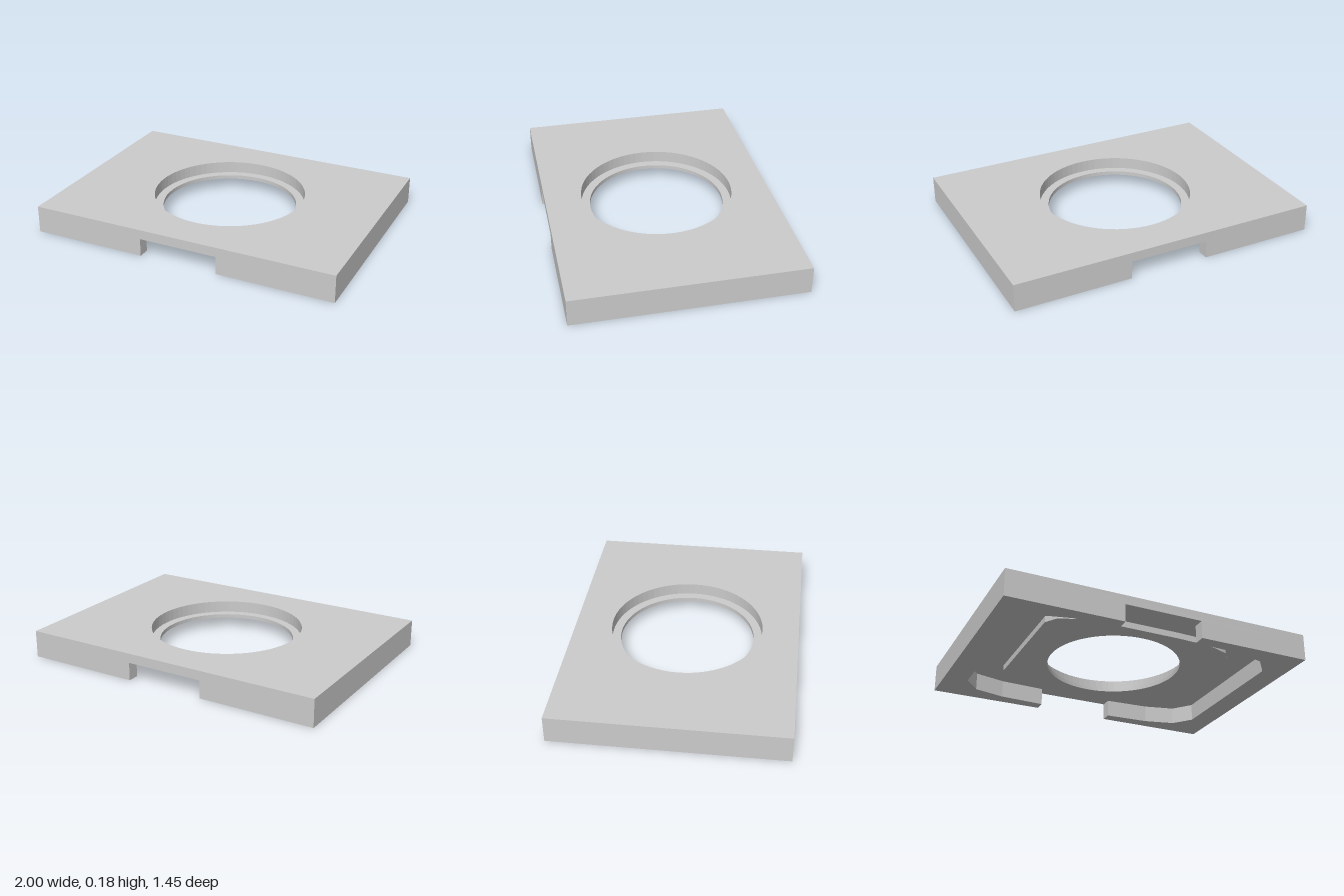
import * as THREE from 'three';

const W = 1, D = 0.725;          // half width and half depth of the block
const TOP = 0.176, CEILING = 0.115, LEDGE = 0.1, PAD = 0.075;
const SLOT = 0.255;              // half width of the front and back slots

const material = new THREE.MeshStandardMaterial({ color: 0xcccccc, flatShading: true });

const toShape = (points) => new THREE.Shape(points.map(([x, z]) => new THREE.Vector2(x, z)));

// Horizontal slab: plan outline in x/z, extruded between two heights
function slab(name, points, bottom, top, holeRadius = 0) {
  const shape = toShape(points);
  if (holeRadius) {
    const hole = new THREE.Path();
    hole.absarc(0, 0, holeRadius, 0, Math.PI * 2, true);
    shape.holes.push(hole);
  }
  const geometry = new THREE.ExtrudeGeometry(shape, {
    depth: top - bottom, bevelEnabled: false, curveSegments: 36,
  });
  geometry.rotateX(Math.PI / 2);
  geometry.translate(0, top, 0);
  const mesh = new THREE.Mesh(geometry, material);
  mesh.name = name;
  return mesh;
}

// Mirror a quarter outline (running from +x towards +z) into a closed loop
function mirrorQuarter(quarter) {
  const half = [...quarter, ...quarter.map(([x, z]) => [-x, z]).reverse()];
  return [...half, ...half.map(([x, z]) => [x, -z]).reverse()];
}

export function createModel() {
  const group = new THREE.Group();
  group.name = 'coverPlate';

  // Top plate with the wide opening
  group.add(slab('topPlate', mirrorQuarter([[W, D]]), CEILING, TOP, 0.49));

  // Raised pad underneath, with the narrow lip that leaves a ledge in the opening
  const pad = mirrorQuarter([[0.63, 0.385], [0.577, 0.465], [0.43, 0.517], [0.2, 0.527]]);
  group.add(slab('padUpper', pad, LEDGE, CEILING, 0.49));
  group.add(slab('padLip', pad, PAD, LEDGE, 0.435));

  // Two C-shaped rim halves, separated by the front and back slots
  const inner = [[SLOT, 0.65], [0.55, 0.636], [0.75, 0.588], [0.845, 0.468]];
  const innerSide = [...inner, ...inner.map(([x, z]) => [x, -z]).reverse()];
  const rim = [[SLOT, -D], [W, -D], [W, D], [SLOT, D], ...innerSide];
  for (const [name, side] of [['leftRim', 1], ['rightRim', -1]]) {
    group.add(slab(name, rim.map(([x, z]) => [side * x, z]), 0, CEILING));
  }
  return group;
}
